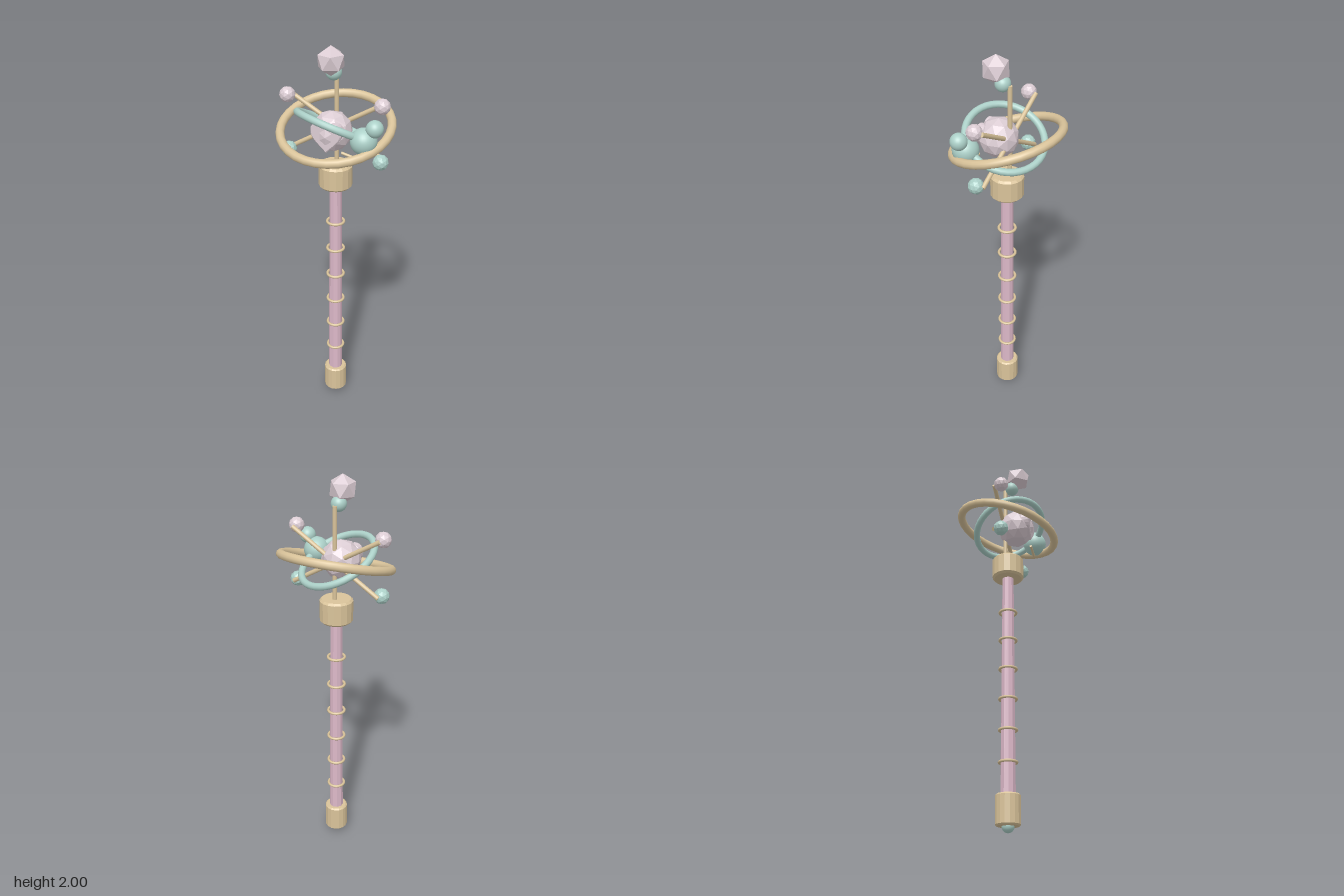
import * as THREE from 'three';

const mat = (color, flatShading = false) => new THREE.MeshStandardMaterial({ color, flatShading });
const GOLD = 0xd9c39a, ROSE = 0xdcb8c8, PALE = 0xdccdd4, TEAL = 0xacd0c8;

export function createModel() {
  const group = new THREE.Group();
  const add = (name, geometry, color, pos = [0, 0, 0], flat = false) => {
    const mesh = new THREE.Mesh(geometry, mat(color, flat));
    mesh.name = name;
    mesh.position.set(...pos);
    group.add(mesh);
    return mesh;
  };
  // thin round bar between two points
  const bar = (name, a, b, r) => {
    const p = new THREE.Vector3(...a), q = new THREE.Vector3(...b);
    const mesh = add(name, new THREE.CylinderGeometry(r, r, p.distanceTo(q), 10), GOLD);
    mesh.position.copy(p).add(q).multiplyScalar(0.5);
    mesh.quaternion.setFromUnitVectors(new THREE.Vector3(0, 1, 0), q.sub(p).normalize());
  };
  // faceted collar with bevelled rims
  const collar = (name, r, y0, y1, bevel) => {
    const pts = [[0, y0], [r - bevel, y0], [r, y0 + bevel], [r, y1 - bevel], [r - bevel, y1], [0, y1]];
    add(name, new THREE.LatheGeometry(pts.map(p => new THREE.Vector2(...p)), 16), GOLD, [0, 0, 0], true);
  };
  const ball = (name, r, pos, color) => add(name, new THREE.SphereGeometry(r, 32, 20), color, pos);
  const gem = (name, r, detail, pos, color) => add(name, new THREE.IcosahedronGeometry(r, detail), color, pos, true);

  // handle
  add('shaft', new THREE.CylinderGeometry(0.03, 0.037, 1.2, 10), ROSE, [0, 0.74, 0], true);
  collar('bottomCollar', 0.06, 0.03, 0.175, 0.007);
  collar('topCollar', 0.082, 1.3, 1.42, 0.01);
  ball('bottomBead', 0.03, [0, 0.03, 0], TEAL);
  for (let i = 0; i < 6; i++) {
    const ring = add('shaftRing', new THREE.TorusGeometry(0.042, 0.007, 8, 24), GOLD, [0, 0.323 + i * 0.156, 0]);
    ring.rotation.x = Math.PI / 2;
  }

  // upright stem and crossed spokes with their end beads
  bar('stem', [0, 1.4, -0.015], [0, 1.87, -0.015], 0.011);
  for (const s of [-1, 1]) {
    bar('spoke', [-s * 0.23, 1.47, -0.015], [s * 0.23, 1.74, -0.015], 0.011);
    gem('upperSpokeBead', 0.038, 1, [s * 0.23, 1.74, 0.022], PALE);
    gem('lowerSpokeBead', 0.038, 1, [s * 0.23, 1.47, 0.022], TEAL);
  }

  // core gem with a heart set into its front
  gem('coreGem', 0.096, 1, [0, 1.603, 0.045], PALE);
  const heart = new THREE.Shape();
  heart.moveTo(0, 0.035);
  heart.bezierCurveTo(0.015, 0.075, 0.07, 0.07, 0.07, 0.025);
  heart.bezierCurveTo(0.07, -0.015, 0.025, -0.04, 0, -0.07);
  heart.bezierCurveTo(-0.025, -0.04, -0.07, -0.015, -0.07, 0.025);
  heart.bezierCurveTo(-0.07, 0.07, -0.015, 0.075, 0, 0.035);
  add('heart', new THREE.ExtrudeGeometry(heart, {
    depth: 0.035, bevelSize: 0.005, bevelThickness: 0.005, bevelSegments: 1, curveSegments: 8,
  }), PALE, [0, 1.6, 0.09], true);

  // tilted outer ring
  const outer = add('outerRing', new THREE.TorusGeometry(0.262, 0.021, 12, 32), GOLD, [0, 1.605, -0.002]);
  outer.rotation.x = Math.PI / 2 + 0.3;

  // inner ring, tilted the other way, carrying two balls
  const inner = add('innerRing', new THREE.TorusGeometry(0.187, 0.017, 12, 40), TEAL, [0, 1.61, 0.01]);
  inner.quaternion.setFromUnitVectors(new THREE.Vector3(0, 0, 1), new THREE.Vector3(0.28, 1, -0.45).normalize());
  ball('ringBall', 0.062, [0.175, 1.602, 0.11], TEAL);
  ball('ringBallSmall', 0.04, [0.225, 1.667, 0.11], TEAL);
  bar('ballPin', [0.07, 1.53, 0.11], [0.15, 1.51, 0.11], 0.007);

  // finial: bead and faceted gem with one corner up
  ball('finialBead', 0.037, [0, 1.872, 0.022], TEAL);
  gem('finialGem', 0.068, 0, [0, 1.932, 0.057], PALE).rotation.z = -0.5536;

  return group;
}
